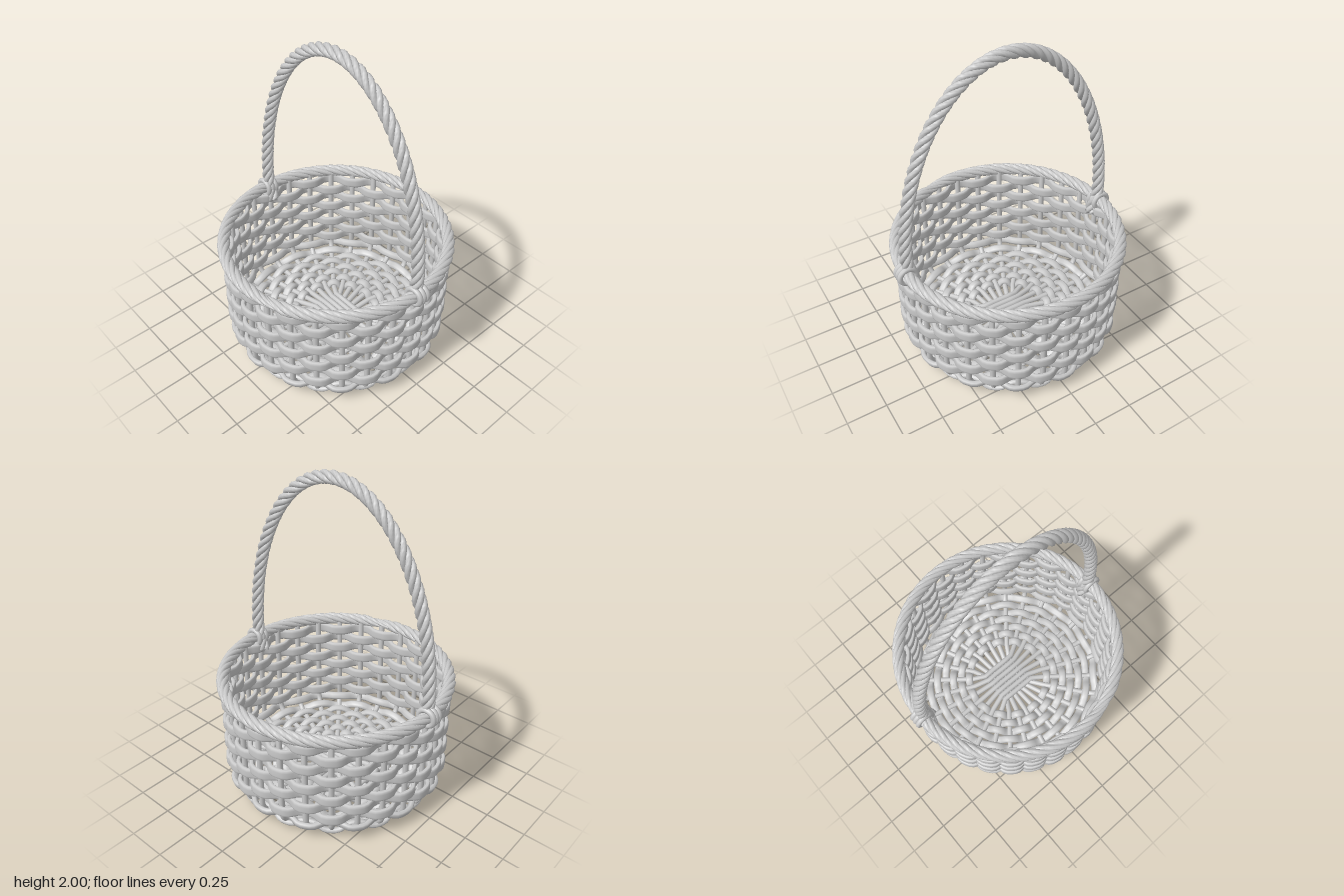
import * as THREE from 'three';

const V = (x, y, z) => new THREE.Vector3(x, y, z);
const material = new THREE.MeshStandardMaterial({ color: 0xcccccc });
const STAKES = 28;

// Tangents along a list of points
function tangents(pts, closed) {
  const n = pts.length;
  return pts.map((p, i) => {
    const a = pts[closed ? (i + n - 1) % n : Math.max(i - 1, 0)];
    const b = pts[closed ? (i + 1) % n : Math.min(i + 1, n - 1)];
    return b.clone().sub(a).normalize();
  });
}

// Sweeps a rounded section along points; refs give the thickness direction.
// thick and wide are half sizes, power < 1 makes the section boxier.
function sweep(pts, refs, { thick, wide, sides = 8, power = 1, closed = false, scale = () => 1 }) {
  const pos = [], index = [], n = pts.length, tan = tangents(pts, closed);
  const round = (v) => Math.sign(v) * Math.pow(Math.abs(v), power);
  pts.forEach((p, i) => {
    const b = tan[i].clone().cross(refs[i]).normalize();
    const a = b.clone().cross(tan[i]);
    for (let j = 0; j < sides; j++) {
      const f = ((j + 0.5) / sides) * Math.PI * 2, k = scale(i / (n - 1));
      const q = p.clone().addScaledVector(a, round(Math.cos(f)) * thick * k)
        .addScaledVector(b, round(Math.sin(f)) * wide * k);
      pos.push(q.x, q.y, q.z);
    }
  });
  for (let i = 0; i < (closed ? n : n - 1); i++) {
    for (let j = 0; j < sides; j++) {
      const k = (j + 1) % sides, m = (i + 1) % n;
      const a = i * sides + j, b = i * sides + k, c = m * sides + k, d = m * sides + j;
      index.push(a, b, c, a, c, d);
    }
  }
  if (!closed) {
    const last = (n - 1) * sides;
    for (let j = 1; j < sides - 1; j++) index.push(0, j + 1, j, last, last + j, last + j + 1);
  }
  const geo = new THREE.BufferGeometry();
  geo.setAttribute('position', new THREE.Float32BufferAttribute(pos, 3));
  geo.setIndex(index);
  geo.computeVertexNormals();
  return geo;
}

function add(parent, name, geo) {
  const mesh = new THREE.Mesh(geo, material);
  mesh.name = name;
  parent.add(mesh);
  return mesh;
}

function addGroup(parent, name) {
  const group = new THREE.Group();
  group.name = name;
  parent.add(group);
  return group;
}

// Basket profile by length s: flat floor, round corner, upright wall
const FLOOR = 0.57, BEND = 0.1, BASE_Y = 0.045, ARC = BEND * Math.PI / 2;
function profile(s) {
  const a = THREE.MathUtils.clamp((s - FLOOR) / BEND, 0, Math.PI / 2);
  return {
    r: Math.min(s, FLOOR) + BEND * Math.sin(a),
    y: BASE_Y + BEND * (1 - Math.cos(a)) + Math.max(0, s - FLOOR - ARC),
    nr: Math.sin(a), ny: -Math.cos(a),
  };
}

// One weaver passing in and out of the stakes
function weaver(s, sign, amp, section) {
  const { r, y, nr, ny } = profile(s), pts = [], refs = [], count = STAKES * 6;
  for (let i = 0; i < count; i++) {
    const t = (i / count) * Math.PI * 2, c = Math.cos(t), d = Math.sin(t);
    const w = sign * amp * Math.sin(Math.cos(t * STAKES / 2) * Math.PI / 2);
    pts.push(V((r + nr * w) * c, y + ny * w, (r + nr * w) * d));
    refs.push(V(nr * c, ny, nr * d));
  }
  return sweep(pts, refs, { ...section, closed: true });
}

// One stake: across the floor centre, fanning out, then up both walls
function stake(i, lift) {
  const angle = i * Math.PI * 2 / STAKES, c = Math.cos(angle), d = Math.sin(angle);
  const pts = [V(0.06, BASE_Y + lift, i * 0.037), V(0.12, BASE_Y + lift, i * 0.037)];
  const refs = [V(0, -1, 0), V(0, -1, 0)];
  const stops = [0.25, 0.4, 0.56];
  for (let k = 0; k <= 8; k++) stops.push(FLOOR + ARC * k / 8);
  stops.push(0.9, 1.1, 1.31);
  for (const s of stops) {
    const { r, y, nr, ny } = profile(s);
    pts.push(V(r * c, y, r * d));
    refs.push(V(nr * c, ny, nr * d));
  }
  const mirror = (list) => list.map((v) => V(-v.x, v.y, v.z)).reverse();
  return sweep([...mirror(pts), ...pts], [...mirror(refs), ...refs], { thick: 0.017, wide: 0.018 });
}

// Twisted strands laid around a path
function rope(parent, name, pts, refs, { strands, radius, pitch, scale = () => 1 }) {
  const tan = tangents(pts, false), off = radius * 0.57, size = radius * 0.45;
  for (let k = 0; k < strands; k++) {
    let length = 0;
    const dirs = [], line = pts.map((p, i) => {
      if (i) length += p.distanceTo(pts[i - 1]);
      const f = Math.PI * 2 * (k / strands + length / pitch);
      const b = tan[i].clone().cross(refs[i]).normalize();
      const dir = b.clone().cross(tan[i]).multiplyScalar(Math.cos(f)).addScaledVector(b, Math.sin(f));
      dirs.push(dir);
      return p.clone().addScaledVector(dir, off * scale(i / (pts.length - 1)));
    });
    add(parent, name, sweep(line, dirs, { thick: size, wide: size, scale }));
  }
}

export function createModel() {
  const model = new THREE.Group();
  model.name = 'basket';

  // Stakes: seven rods each way, crossing at the floor centre
  const stakes = addGroup(model, 'stakes');
  for (let i = -3; i <= 3; i++) {
    add(stakes, 'stake', stake(i, 0.016));
    add(stakes, 'stake', stake(i, -0.027)).rotation.y = Math.PI / 2;
  }

  // Floor and corner weavers
  const floor = addGroup(model, 'floorWeave');
  [0.277, 0.334, 0.391, 0.448, 0.505, 0.562, 0.622, 0.69].forEach((s, k) => {
    add(floor, 'floorWeaver', weaver(s, k % 2 ? -1 : 1, 0.02, { thick: 0.017, wide: 0.027, sides: 8, power: 0.8 }));
  });

  // Flat wall weavers
  const wall = addGroup(model, 'wallWeave');
  for (let k = 0; k < 8; k++) {
    add(wall, 'wallWeaver', weaver(0.762 + k * 0.07, k % 2 ? -1 : 1, 0.026,
      { thick: 0.014, wide: 0.033, sides: 12, power: 0.55 }));
  }

  // Rope rim whose tapered ends overlap near the front
  const rim = addGroup(model, 'rim');
  const rimPts = [], rimRefs = [], start = 1.15, span = Math.PI * 2 + 0.32;
  const ends = (t) => [1 - Math.min(1, t * span / 0.32), 1 - Math.min(1, (1 - t) * span / 0.32)];
  for (let i = 0; i <= 250; i++) {
    const t = i / 250, a = start + span * t, [head, tail] = ends(t);
    const r = 0.69 + 0.016 * head - 0.02 * tail;
    rimPts.push(V(r * Math.cos(a), 0.737, r * Math.sin(a)));
    rimRefs.push(V(Math.cos(a), 0, Math.sin(a)));
  }
  rope(rim, 'rimStrand', rimPts, rimRefs, {
    strands: 5, radius: 0.039, pitch: 0.42,
    scale: (t) => 1 - 0.7 * Math.max(...ends(t)),
  });

  // Arched rope handle with its feet tucked inside the rim
  const handle = addGroup(model, 'handle');
  const arch = [V(0.635, 0.65, 0), V(0.66, 0.73, 0)];
  for (let i = 0; i <= 24; i++) {
    const a = Math.PI * i / 24;
    arch.push(V(0.678 * Math.cos(a), 0.82 + 1.14 * Math.sin(a), 0));
  }
  arch.push(V(-0.66, 0.73, 0), V(-0.635, 0.65, 0));
  const handlePts = new THREE.CatmullRomCurve3(arch).getSpacedPoints(180);
  rope(handle, 'handleStrand', handlePts, handlePts.map(() => V(0, 0, 1)),
    { strands: 4, radius: 0.04, pitch: 0.27 });

  // Lashings that tie the handle to the rim
  for (const side of [-1, 1]) {
    const lashing = addGroup(model, side > 0 ? 'leftLashing' : 'rightLashing');
    for (const z of [-0.028, 0, 0.028]) {
      add(lashing, 'lashingRing', new THREE.TorusGeometry(0.05, 0.017, 8, 28)).position.set(side * 0.688, 0.736, z);
    }
  }
  return model;
}
